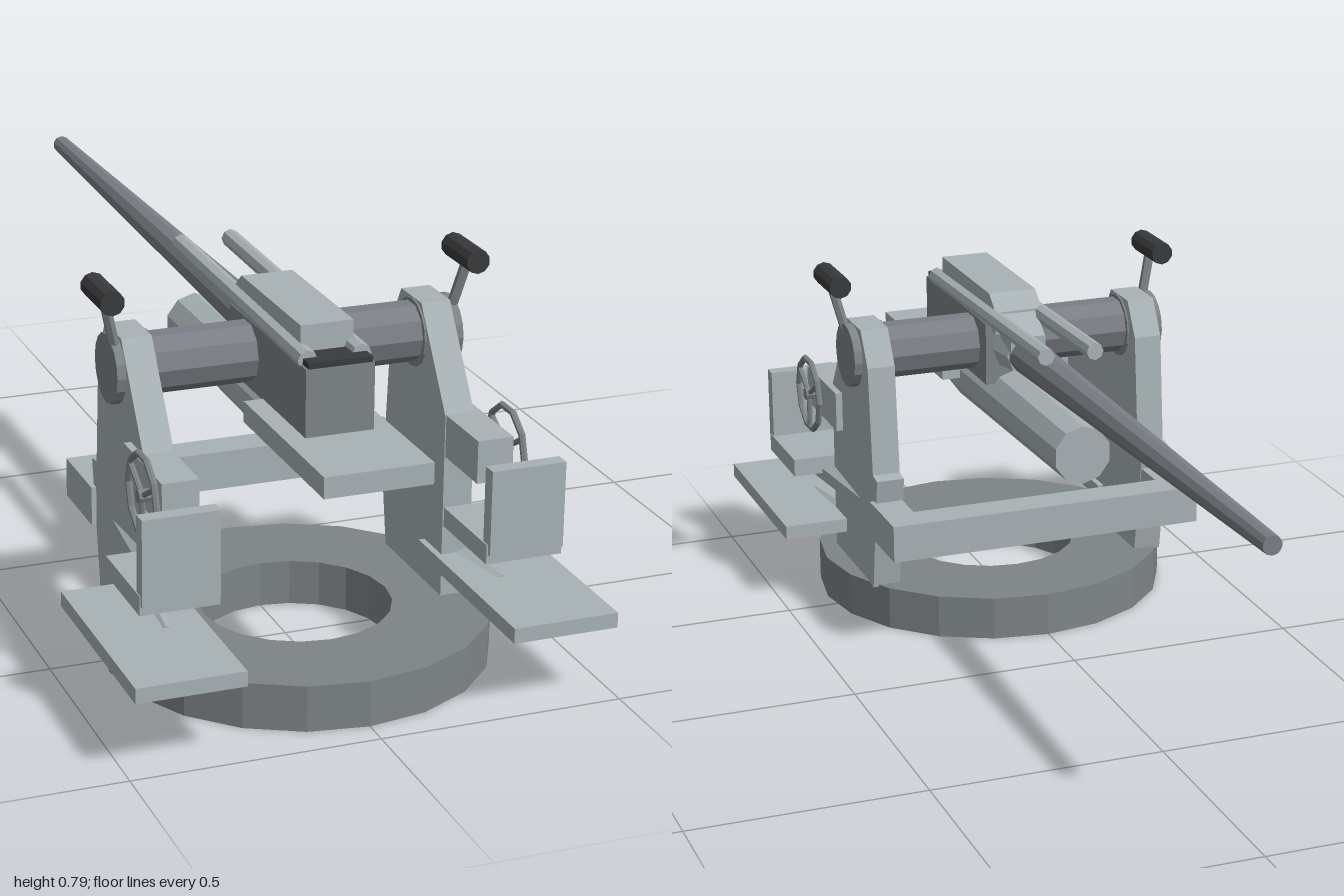
import * as THREE from 'three';

const paint = color => new THREE.MeshStandardMaterial({ color, flatShading: true });
const light = paint(0xa8b2b5);
const mid = paint(0x7e8486);
const steel = paint(0x7b7e86);
const dark = paint(0x393a3c);

export function createModel() {
  const model = new THREE.Group();
  model.name = 'deckGun';

  const add = (name, material, geometry, parent = model) => {
    const mesh = new THREE.Mesh(geometry, material);
    mesh.name = name;
    parent.add(mesh);
    return mesh;
  };
  // Box given by its min and max along each axis
  const box = (name, material, [x0, x1], [y0, y1], [z0, z1], parent) => {
    const geometry = new THREE.BoxGeometry(Math.abs(x1 - x0), y1 - y0, z1 - z0);
    add(name, material, geometry, parent).position.set((x0 + x1) / 2, (y0 + y1) / 2, (z0 + z1) / 2);
  };
  // Straight, optionally tapered, round bar from a to b
  const bar = (name, material, a, b, ra, rb, sides, parent) => {
    const p = new THREE.Vector3(...a), q = new THREE.Vector3(...b);
    const mesh = add(name, material, new THREE.CylinderGeometry(rb, ra, p.distanceTo(q), sides), parent);
    mesh.position.copy(p).add(q).multiplyScalar(0.5);
    mesh.quaternion.setFromUnitVectors(new THREE.Vector3(0, 1, 0), q.sub(p).normalize());
  };
  // Side profile of [z, y] points, extruded from x0 to x1
  const slab = (name, material, points, x0, x1, parent) => {
    const shape = new THREE.Shape(points.map(([z, y]) => new THREE.Vector2(-z, y)));
    const geometry = new THREE.ExtrudeGeometry(shape, { depth: x1 - x0, bevelEnabled: false });
    geometry.rotateY(Math.PI / 2).translate(x0, 0, 0);
    add(name, material, geometry, parent);
  };

  // Base ring
  const ring = [[0.195, 0], [0.393, 0], [0.393, 0.095], [0.195, 0.095], [0.195, 0]];
  add('baseRing', mid, new THREE.LatheGeometry(ring.map(p => new THREE.Vector2(...p)), 20))
    .position.z = 0.552;

  // Trunnion shaft and cross beam
  bar('trunnionShaft', steel, [-0.35, 0.605, 0.46], [0.35, 0.605, 0.46], 0.062, 0.062, 10);
  box('crossBeam', light, [-0.355, 0.355], [0.22, 0.302], [0.16, 0.235]);

  // Barrel with its collar
  bar('barrel', steel, [0, 0.612, 0.37], [0, 0.63, -1], 0.043, 0.02, 10);
  bar('barrelCollar', light, [0, 0.61, 0.42], [0, 0.612, 0.29], 0.062, 0.045, 8);

  // Breech, loading tray and recoil cylinder
  box('breech', mid, [-0.07, 0.07], [0.53, 0.67], [0.36, 0.77]);
  box('breechLid', dark, [-0.065, 0.065], [0.67, 0.682], [0.705, 0.77]);
  box('loadingTray', light, [-0.11, 0.11], [0.49, 0.533], [0.545, 0.965]);
  bar('recoilCylinder', light, [0, 0.487, 0.62], [0, 0.491, -0.05], 0.072, 0.064, 10);

  // Housing over the breech with a narrower sloping nose
  slab('topHousing', light, [[0.7, 0.66], [0.7, 0.733], [0.38, 0.733], [0.34, 0.7], [0.34, 0.65]],
    -0.054, 0.054);
  slab('housingNose', light, [[0.37, 0.62], [0.37, 0.71], [0.33, 0.69], [0.28, 0.656], [0.28, 0.62]],
    -0.04, 0.04);

  for (const s of [-1, 1]) {
    const side = new THREE.Group();
    side.name = s > 0 ? 'leftSide' : 'rightSide';
    model.add(side);
    const span = (a, b) => [s * a, s * b];

    // Recuperator rod beside the housing
    bar('recuperatorRod', light, [s * 0.055, 0.677, 0.74], [s * 0.055, 0.693, 0.02], 0.02, 0.019, 8, side);

    // Upright cheek carrying the trunnion
    const cheek = [[0.63, 0.09], [0.63, 0.48], [0.5, 0.675], [0.4, 0.675], [0.355, 0.6],
      [0.335, 0.36], [0.305, 0.355], [0.325, 0.24], [0.35, 0.09]];
    slab('cheek', light, cheek, s > 0 ? 0.283 : -0.345, s > 0 ? 0.345 : -0.283, side);
    bar('trunnionCap', mid, [s * 0.279, 0.603, 0.46], [s * 0.363, 0.603, 0.46], 0.071, 0.071, 16, side);
    box('sideArm', light, span(0.285, 0.355), [0.22, 0.302], [0.16, 0.33], side);

    // Sight stalk with eyepiece
    bar('sightStalk', mid, [s * 0.354, 0.655, 0.487], [s * 0.379, 0.757, 0.503], 0.011, 0.011, 6, side);
    bar('sightTube', dark, [s * 0.379, 0.767, 0.555], [s * 0.379, 0.767, 0.43], 0.025, 0.025, 10, side);

    // Gearbox and handwheel
    box('gearbox', light, span(0.285, 0.36), [0.395, 0.483], [0.555, 0.78], side);
    const wheel = new THREE.Group();
    wheel.name = 'handwheel';
    wheel.position.set(s * 0.376, 0.437, 0.715);
    side.add(wheel);
    add('rim', mid, new THREE.TorusGeometry(0.083, 0.007, 6, 10), wheel).rotation.y = Math.PI / 2;
    bar('axle', mid, [-s * 0.04, 0, 0], [s * 0.01, 0, 0], 0.014, 0.014, 8, wheel);
    for (let i = 0; i < 3; i++) {
      const a = Math.PI / 6 + i * Math.PI * 2 / 3;
      bar('spoke', mid, [0, 0, 0], [0, 0.083 * Math.sin(a), 0.083 * Math.cos(a)], 0.006, 0.006, 6, wheel);
    }

    // Seat on a bracket angled out of the cheek
    box('seat', light, span(0.272, 0.432), [0.26, 0.3], [0.66, 0.86], side);
    box('seatBack', light, span(0.275, 0.43), [0.28, 0.455], [0.838, 0.87], side);
    bar('seatBracket', light, [s * 0.315, 0.262, 0.38], [s * 0.347, 0.256, 0.77], 0.028, 0.032, 6, side);

    // Foot platform on a matching bracket
    box('platform', light, span(0.27, 0.488), [0.154, 0.185], [0.545, 1], side);
    bar('platformBracket', light, [s * 0.315, 0.172, 0.5], [s * 0.347, 0.16, 0.77], 0.026, 0.029, 6, side);
  }
  return model;
}
